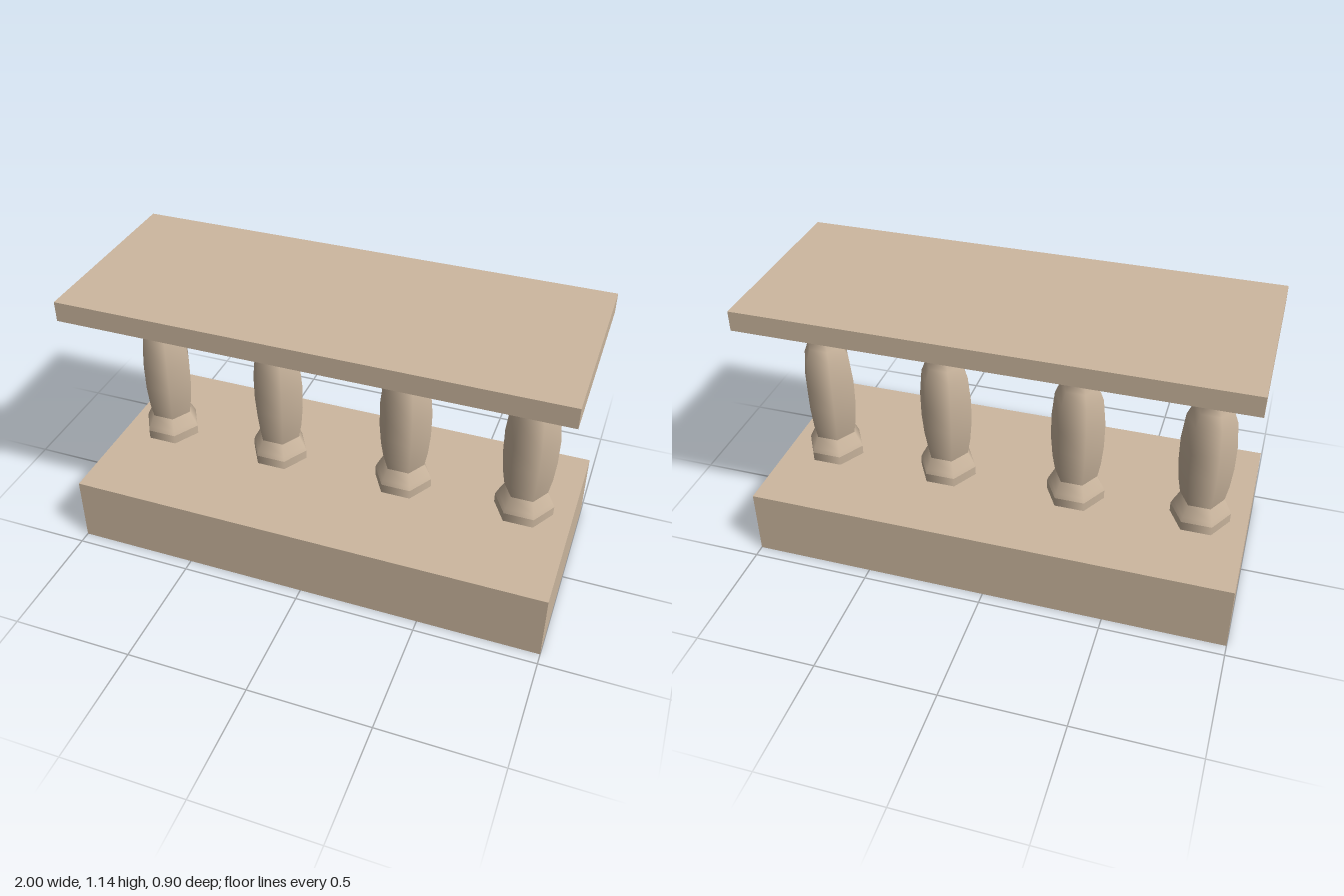
import * as THREE from 'three';

export function createModel() {
  const model = new THREE.Group();
  model.name = 'balustrade';
  const stone = new THREE.MeshStandardMaterial({ color: 0xcdb8a0 });

  // Plain slab between two heights
  function slab(name, y0, y1, depth) {
    const mesh = new THREE.Mesh(new THREE.BoxGeometry(2, y1 - y0, depth), stone);
    mesh.name = name;
    mesh.position.y = (y0 + y1) / 2;
    model.add(mesh);
  }
  slab('basePlinth', 0, 0.285, 0.9);
  slab('handrail', 1.06, 1.143, 0.8);

  // Six-sided turned sections; separate lathes keep the rings between them sharp
  const sections = {
    foot: [[0.123, 0.285], [0.123, 0.325]],
    footFlare: [[0.123, 0.325], [0.115, 0.345], [0.09, 0.393]],
    shaft: [[0.09, 0.393], [0.102, 0.46], [0.11, 0.55], [0.111, 0.66], [0.099, 0.775],
      [0.077, 0.83], [0.061, 0.88], [0.061, 0.915], [0.071, 0.957], [0.096, 1.01]],
    capital: [[0.096, 1.01], [0.096, 1.06]],
  };
  const parts = Object.entries(sections).map(([name, pts]) => [
    name,
    new THREE.LatheGeometry(pts.map(([r, y]) => new THREE.Vector2(r, y)), 6, Math.PI / 2),
  ]);

  // Row of balusters, set slightly behind the middle
  for (const x of [-0.805, -0.283, 0.278, 0.797]) {
    const baluster = new THREE.Group();
    baluster.name = 'baluster';
    for (const [name, geometry] of parts) {
      const mesh = new THREE.Mesh(geometry, stone);
      mesh.name = name;
      baluster.add(mesh);
    }
    baluster.position.set(x, 0, -0.044);
    model.add(baluster);
  }
  return model;
}
